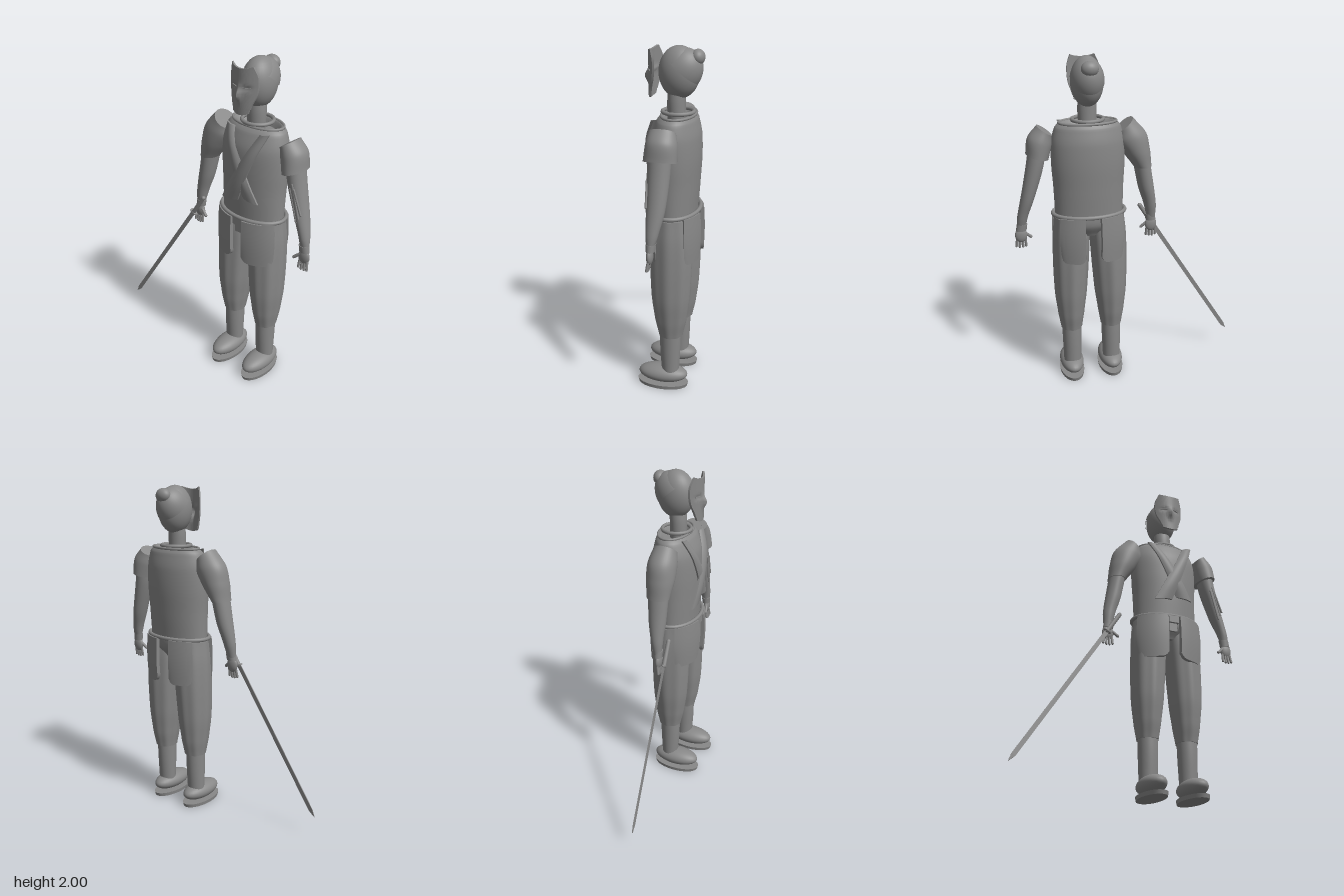
import * as THREE from 'three';
import { toCreasedNormals } from 'three/addons/utils/BufferGeometryUtils.js';

const grey = new THREE.MeshStandardMaterial({ color: 0x888888 });
grey.name = 'plain grey';
const CX = 0.25; // body axis
const V = (x, y, z) => new THREE.Vector3(x, y, z);

// Smooth skin over elliptical sections [x, y, z, rx, rz, tilt], listed top to bottom
function loft(sections, { steps = 20, pleat = 0, pleats = 8, seg = 40 } = {}) {
  const mid = new THREE.CatmullRomCurve3(sections.map(s => V(s[0], s[1], s[2])), false, 'centripetal');
  const rad = new THREE.CatmullRomCurve3(sections.map(s => V(s[3], s[4], s[5] || 0)), false, 'catmullrom', 0.4);
  const pos = [], idx = [];
  const ring = t => {
    const c = mid.getPoint(t), r = rad.getPoint(t);
    for (let j = 0; j < seg; j++) {
      const a = j / seg * Math.PI * 2, k = 1 + pleat * Math.cos(pleats * a);
      pos.push(c.x + r.x * k * Math.cos(a), c.y + r.z * Math.cos(a), c.z + r.y * k * Math.sin(a));
    }
    return c;
  };
  for (let i = 0; i <= steps; i++) ring(i / steps);
  for (let i = 0; i < steps; i++) for (let j = 0; j < seg; j++) {
    const a = i * seg + j, b = i * seg + (j + 1) % seg;
    idx.push(a, b, a + seg, b, b + seg, a + seg);
  }
  // end caps
  for (const t of [0, 1]) {
    const base = pos.length / 3, c = ring(t), m = pos.length / 3;
    pos.push(c.x, c.y, c.z);
    for (let j = 0; j < seg; j++) {
      const a = base + j, b = base + (j + 1) % seg;
      if (t) idx.push(m, a, b); else idx.push(m, b, a);
    }
  }
  const g = new THREE.BufferGeometry();
  g.setAttribute('position', new THREE.Float32BufferAttribute(pos, 3));
  g.setIndex(idx);
  g.computeVertexNormals();
  return g;
}

// Unit slab bent by a rule: fn(u, v, side) with u, v in 0..1 and side -0.5..0.5
function slab(nu, nv, fn) {
  const g = new THREE.BoxGeometry(1, 1, 1, nu, nv, 1), p = g.attributes.position;
  for (let i = 0; i < p.count; i++) {
    const q = fn(p.getX(i) + 0.5, p.getY(i) + 0.5, p.getZ(i));
    p.setXYZ(i, q.x, q.y, q.z);
  }
  return toCreasedNormals(g, 0.7);
}

export function createModel() {
  const model = new THREE.Group();
  const add = (name, geo, parent = model) => {
    const m = new THREE.Mesh(geo, grey);
    m.name = name;
    parent.add(m);
    return m;
  };
  const ball = (name, x, y, z, rx, ry, rz, parent) => {
    const m = add(name, new THREE.SphereGeometry(1, 32, 20), parent);
    m.position.set(x, y, z);
    m.scale.set(rx, ry, rz);
    return m;
  };
  const rod = (name, a, b, r, parent) => {
    const m = add(name, new THREE.CapsuleGeometry(r, a.distanceTo(b), 4, 10), parent);
    m.position.copy(a).add(b).multiplyScalar(0.5);
    m.quaternion.setFromUnitVectors(V(0, 1, 0), b.clone().sub(a).normalize());
    return m;
  };
  const hoop = (name, y, z, rx, rz, r) => {
    const pts = Array.from({ length: 32 }, (_, i) => {
      const a = i / 32 * Math.PI * 2;
      return V(CX + rx * Math.cos(a), y, z + rz * Math.sin(a));
    });
    return add(name, new THREE.TubeGeometry(new THREE.CatmullRomCurve3(pts, true), 64, r, 8, true));
  };

  // Head, hair bun and neck
  ball('head', CX, 1.86, -0.042, 0.092, 0.14, 0.112);
  const hair = add('hairCap', new THREE.SphereGeometry(1, 32, 14, 0, Math.PI * 2, 0, Math.PI * 0.45));
  hair.position.set(CX, 1.86, -0.044);
  hair.scale.set(0.096, 0.14, 0.115);
  hair.rotation.x = -0.7;
  ball('hairBun', CX, 1.942, -0.142, 0.048, 0.042, 0.038);
  add('neck', loft([[CX, 1.77, -0.03, 0.05, 0.048], [CX, 1.7, -0.026, 0.054, 0.05], [CX, 1.59, -0.026, 0.05, 0.048]]));

  // Curved face mask with a nose ridge
  const halfWidth = new THREE.CatmullRomCurve3([
    V(0.05, 0, 0), V(0.064, 1, 0), V(0.084, 2, 0), V(0.092, 3, 0), V(0.09, 4, 0), V(0.07, 5, 0)]);
  add('mask', slab(24, 30, (u, v, s) => {
    const d = (u - 0.5) * 2, x = d * halfWidth.getPoint(v).x;
    const nose = 0.024 * Math.exp(-(d * d) / 0.03) * Math.exp(-(((v - 0.45) / 0.14) ** 2));
    const socket = 0.008 * Math.exp(-(((Math.abs(d) - 0.45) / 0.25) ** 2) - ((v - 0.58) / 0.05) ** 2);
    const y = 1.722 + v * (0.25 + 0.016 * d * d) + (v < 0.1 ? 0.012 * d * d : 0);
    return V(CX + x, y, 0.118 - 5 * x * x + nose - socket + s * 0.012);
  }));
  for (const s of [-1, 1]) {
    const eye = add('eyeSlit', new THREE.BoxGeometry(0.045, 0.004, 0.006));
    eye.position.set(CX + s * 0.042, 1.872, 0.112);
    eye.rotation.y = s * 0.42;
  }

  // Torso with a sunken neck opening
  add('torso', loft([
    [CX, 1.6, -0.04, 0.12, 0.06], [CX, 1.638, -0.038, 0.155, 0.085], [CX, 1.61, -0.034, 0.188, 0.11],
    [CX, 1.52, -0.027, 0.21, 0.135], [CX, 1.4, -0.025, 0.212, 0.139], [CX, 1.25, -0.022, 0.204, 0.133],
    [CX, 1.09, -0.02, 0.2, 0.123]], { steps: 36 }));
  hoop('neckline', 1.637, -0.04, 0.163, 0.09, 0.008);
  hoop('collar', 1.65, -0.036, 0.088, 0.085, 0.011);
  hoop('belt', 1.1, -0.02, 0.212, 0.137, 0.012);

  // Crossed chest bands, widening downwards
  const bandDepth = new THREE.CatmullRomCurve3([
    V(0.123, 0, 0), V(0.134, 1, 0), V(0.132, 2, 0), V(0.115, 3, 0), V(0.072, 4, 0)]);
  [['chestBandLower', 0.145, 0.327, 1.228, 0.105, -0.006], ['chestBandUpper', 0.38, 0.188, 1.205, 0.115, 0.002]]
    .forEach(([name, x1, x0, y0, w0, dz]) => add(name, slab(6, 16, (u, v, s) => V(
      THREE.MathUtils.lerp(x0, x1, v) + (u - 0.5) * THREE.MathUtils.lerp(w0, 0.06, v),
      THREE.MathUtils.lerp(y0, 1.625, v) + (u - 0.5) * (x1 > x0 ? 0.012 : -0.012),
      bandDepth.getPoint(v).x + dz + s * 0.01 - 0.012 * (2 * u - 1) ** 2))));

  // Hips, belt knot and hanging skirt panels
  add('hips', loft([[CX, 1.11, -0.02, 0.2, 0.123], [CX, 1.04, -0.02, 0.2, 0.118], [CX, 0.97, -0.02, 0.1, 0.08]]));
  const knot = add('beltKnot', new THREE.BoxGeometry(0.065, 0.045, 0.03));
  knot.position.set(CX, 1.075, 0.112);
  const tail = add('beltTail', new THREE.BoxGeometry(0.05, 0.06, 0.015));
  tail.position.set(CX, 1.03, 0.105);
  const panel = (name, from, to) => add(name, slab(16, 14, (u, v, s) => {
    const a = THREE.MathUtils.degToRad(from + (to - from) * u);
    const k = 1 + 0.035 * Math.sin(v * Math.PI), e = Math.abs(2 * u - 1);
    const bottom = 0.82 + 0.035 * e ** 6;
    return V(CX + (0.215 * k + s * 0.022) * Math.sin(a), bottom + v * (1.095 - bottom),
      -0.02 + (0.145 * k + s * 0.022) * Math.cos(a));
  }));
  panel('frontPanelLeft', 10, 66);
  panel('frontPanelRight', -66, -10);
  panel('backPanelLeft', 126, 168);
  panel('backPanelRight', 192, 234);

  // Legs, shoes and soles
  for (const s of [-1, 1]) {
    const leg = new THREE.Group();
    leg.name = s > 0 ? 'leftLeg' : 'rightLeg';
    model.add(leg);
    const X = d => CX + s * d;
    add('trouserLeg', loft([
      [X(0.105), 1.08, -0.02, 0.1, 0.105], [X(0.11), 0.95, -0.02, 0.108, 0.117], [X(0.116), 0.8, -0.02, 0.106, 0.118],
      [X(0.122), 0.6, -0.018, 0.097, 0.11], [X(0.124), 0.45, -0.018, 0.08, 0.092],
      [X(0.124), 0.345, -0.018, 0.064, 0.07]], { steps: 30, pleat: 0.022, seg: 64 }), leg);
    add('shin', loft([[X(0.124), 0.37, -0.016, 0.06, 0.062], [X(0.124), 0.26, -0.015, 0.058, 0.06],
      [X(0.125), 0.07, -0.015, 0.053, 0.05]]), leg);
    ball('shoe', X(0.125), 0.076, 0.03, 0.073, 0.054, 0.148, leg);
    const sole = add('sole', new THREE.CylinderGeometry(1, 0.96, 0.022, 40), leg);
    sole.position.set(X(0.125), 0.011, 0.032);
    sole.scale.set(0.076, 1, 0.154);
  }

  // Sleeves and arms
  add('rightSleeve', loft([
    [0.036, 1.6, -0.012, 0.05, 0.07, -0.042], [-0.003, 1.53, -0.014, 0.088, 0.085, -0.022],
    [-0.035, 1.45, -0.012, 0.08, 0.084, -0.008], [-0.075, 1.348, -0.01, 0.053, 0.068, 0]]));
  add('rightArm', loft([[-0.07, 1.37, -0.01, 0.05, 0.062], [-0.098, 1.22, -0.004, 0.047, 0.053],
    [-0.126, 1.1, 0.005, 0.037, 0.037], [-0.136, 1.01, 0.014, 0.026, 0.022]]));
  add('leftSleeve', loft([
    [0.492, 1.594, -0.012, 0.042, 0.072, 0.028], [0.522, 1.53, -0.014, 0.066, 0.085, 0.026],
    [0.538, 1.447, -0.01, 0.064, 0.09, 0.018]]));
  add('leftArm', loft([[0.535, 1.5, -0.01, 0.05, 0.062], [0.556, 1.38, -0.008, 0.05, 0.06],
    [0.603, 1.2, -0.002, 0.04, 0.05], [0.637, 1.08, 0.01, 0.031, 0.034], [0.648, 1.01, 0.016, 0.026, 0.02]]));
  // Slim guard rods along the left forearm
  for (const d of [-0.013, 0, 0.013])
    rod('armGuard', V(0.563 + d, 1.39 - Math.abs(d) * 2, 0.049), V(0.612 + d, 1.2 + d * 2, 0.044), 0.006);

  // Hands with cuff, fingers and inward thumb
  for (const [name, x, s] of [['leftHand', 0.648, 1], ['rightHand', -0.135, -1]]) {
    const hand = new THREE.Group();
    hand.name = name;
    model.add(hand);
    add('cuff', loft([[x - s * 0.006, 1.035, 0.015, 0.031, 0.027], [x, 0.995, 0.016, 0.031, 0.024]]), hand);
    ball('palm', x + s * 0.002, 0.965, 0.02, 0.036, 0.045, 0.018, hand);
    for (let i = 0; i < 4; i++) {
      const fx = x + s * (-0.022 + i * 0.016);
      rod('finger', V(fx, 0.945, 0.022), V(fx + s * (i - 1) * 0.003, 0.893 - 0.006 * (1.5 - Math.abs(i - 1.5)), 0.03), 0.0075, hand);
    }
    rod('thumb', V(x - s * 0.022, 0.975, 0.025), V(x - s * 0.056, 0.945, 0.034), 0.009, hand);
  }

  // Sword: rounded grip, small guard and flat pointed blade
  const sword = new THREE.Group();
  sword.name = 'sword';
  const outline = new THREE.Shape([[-0.013, 0], [0.013, 0], [0.012, -0.95], [-0.003, -0.997], [-0.014, -0.95]]
    .map(p => new THREE.Vector2(...p)));
  const blade = new THREE.ExtrudeGeometry(outline, { depth: 0.005, bevelEnabled: false });
  blade.translate(0, 0, -0.0025);
  add('blade', blade, sword);
  rod('grip', V(0, 0, 0), V(0, 0.145, 0), 0.013, sword);
  const guard = add('guard', new THREE.CylinderGeometry(0.026, 0.026, 0.008, 24), sword);
  guard.scale.z = 0.6;
  const tip = V(-0.692, 0.115, 0.1), hilt = V(-0.155, 0.955, 0.062);
  sword.position.copy(hilt);
  sword.quaternion.setFromUnitVectors(V(0, 1, 0), hilt.clone().sub(tip).normalize());
  model.add(sword);

  return model;
}
